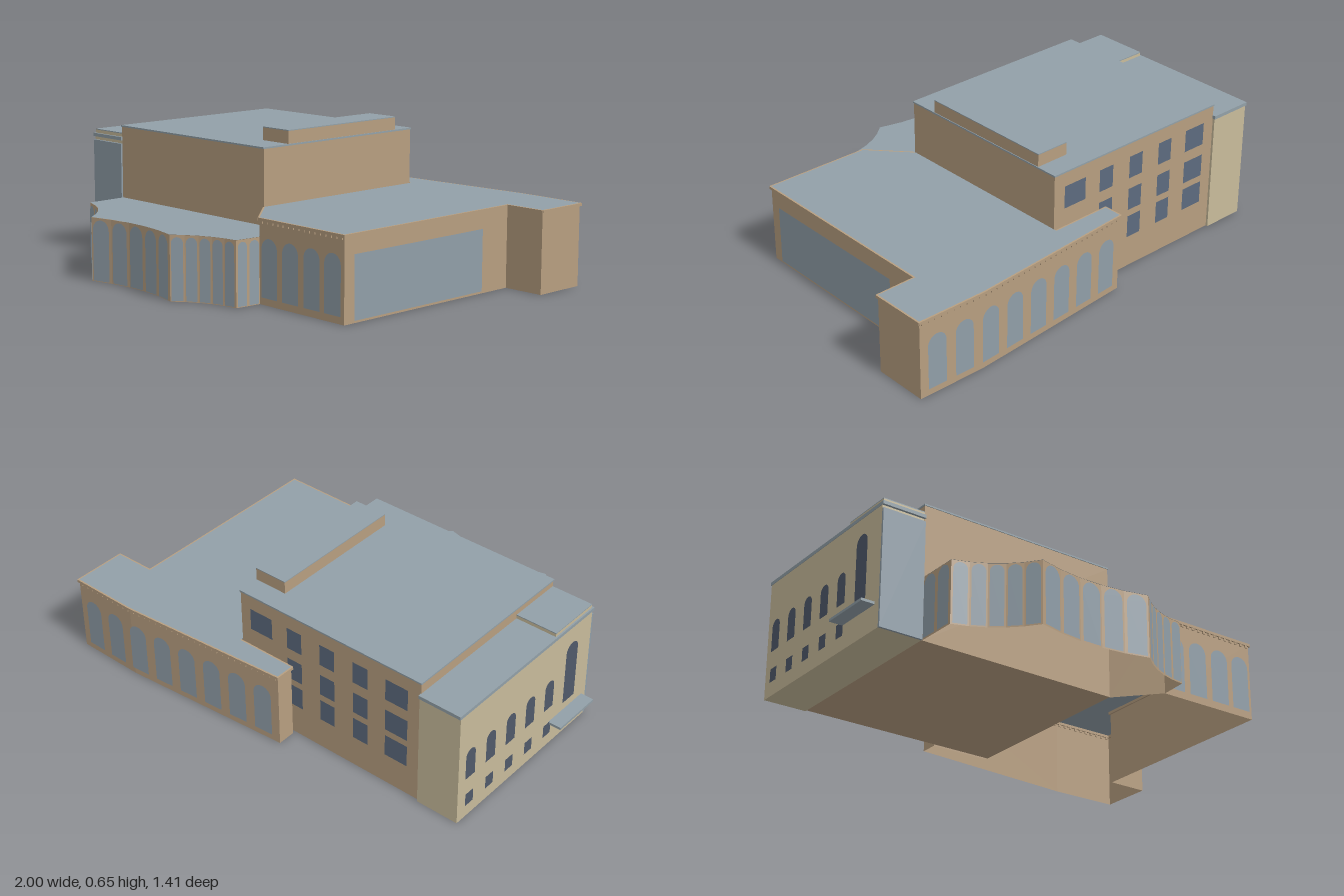
import * as THREE from 'three';

const mat = (name, color, side = THREE.FrontSide) => {
  const m = new THREE.MeshStandardMaterial({ color, side });
  m.name = name;
  return m;
};

export function createModel() {
  const model = new THREE.Group();
  model.name = 'theatreBuilding';
  const stone = mat('tan stone', 0xb79e80, THREE.DoubleSide);
  const cream = mat('cream stone', 0xc8bb9b);
  const roofing = mat('grey roofing', 0x92a0a8, THREE.DoubleSide);
  const glass = mat('pale glass', 0x909ea8, THREE.DoubleSide);
  const darkGlass = mat('blue window', 0x5c6b7e);
  const shadeGlass = mat('dark window', 0x50596a);

  const add = (name, geo, material, parent = model) => {
    const mesh = new THREE.Mesh(geo, material);
    mesh.name = name;
    parent.add(mesh);
    return mesh;
  };
  // Box given by its limits on each axis
  const box = (name, x0, x1, y0, y1, z0, z1, material) => {
    const m = add(name, new THREE.BoxGeometry(x1 - x0, y1 - y0, z1 - z0), material);
    m.position.set((x0 + x1) / 2, (y0 + y1) / 2, (z0 + z1) / 2);
    return m;
  };
  // Frame along a wall from a to b: local x runs along it, local z points outwards
  const wallFrame = (name, a, b) => {
    const g = new THREE.Group();
    g.name = name;
    g.position.set(a[0], 0, a[1]);
    g.rotation.y = -Math.atan2(b[1] - a[1], b[0] - a[0]);
    g.userData.length = Math.hypot(b[0] - a[0], b[1] - a[1]);
    model.add(g);
    return g;
  };
  const wall = (name, a, b, height, material) => {
    const g = wallFrame(name, a, b);
    const len = g.userData.length;
    add(name + 'Face', new THREE.PlaneGeometry(len, height).translate(len / 2, height / 2, 0), material, g);
    return g;
  };
  // Thin window pane centred at u along a wall, optionally round-headed
  const pane = (frame, u, w, y0, y1, arched, material, name = 'window') => {
    const r = w / 2, s = new THREE.Shape();
    s.moveTo(u - r, y0);
    s.lineTo(u + r, y0);
    if (arched) {
      s.lineTo(u + r, y1 - r);
      s.absarc(u, y1 - r, r, 0, Math.PI, false);
    } else {
      s.lineTo(u + r, y1);
      s.lineTo(u - r, y1);
    }
    s.closePath();
    add(name, new THREE.ShapeGeometry(s, 8).translate(0, 0, 0.004), material, frame);
  };
  const flatRoof = (name, pts, y) => {
    const s = new THREE.Shape(pts.map(([x, z]) => new THREE.Vector2(x, -z)));
    add(name, new THREE.ShapeGeometry(s).rotateX(-Math.PI / 2).translate(0, y, 0), roofing);
  };

  // Main hall with rooftop plant room
  box('mainHall', -0.745, 0.175, 0, 0.585, -0.555, 0.305, stone);
  box('hallRoof', -0.748, 0.178, 0.585, 0.592, -0.558, 0.308, roofing);
  box('plantRoom', 0.022, 0.175, 0.592, 0.645, -0.46, 0.17, stone);
  box('plantRoomRoof', 0.022, 0.175, 0.645, 0.649, -0.46, 0.17, roofing);
  const hallBack = wallFrame('hallBackWindows', [0.175, -0.555], [-0.745, -0.555]);
  for (const [x, w] of [[-0.63, 0.11], [-0.45, 0.075], [-0.28, 0.075], [-0.11, 0.075], [0.065, 0.115]]) {
    const rows = x > 0 ? [0.475] : [0.475, 0.325, 0.195];
    for (const y of rows) pane(hallBack, 0.175 - x, w, y - 0.05, y + 0.05, false, darkGlass);
  }

  // Low wing: walls, cornice, dentils and roof
  const wing = [[0.175, 0.3], [0.33, 0.47], [0.805, 0.475], [0.808, -0.46], [0.99, -0.46],
    [0.99, -0.7], [0.68, -0.705], [-0.1, -0.65], [-0.1, -0.57], [0.175, -0.57]];
  const wingWalls = [];
  for (let i = 0; i < wing.length - 1; i++) {
    const g = wall('wingWall', wing[i], wing[i + 1], 0.345, stone);
    const len = g.userData.length;
    add('cornice', new THREE.BoxGeometry(len + 0.01, 0.012, 0.014).translate(len / 2, 0.342, 0), stone, g);
    if (i === 1 || i === 5 || i === 6) {
      const n = Math.round(len / 0.03);
      for (let k = 0; k < n; k++) {
        add('dentil', new THREE.BoxGeometry(0.012, 0.01, 0.01).translate((k + 0.5) * len / n, 0.331, 0), stone, g);
      }
    }
    wingWalls.push(g);
  }
  flatRoof('wingRoof', wing, 0.3485);
  for (const x of [0.39, 0.51, 0.63, 0.745]) pane(wingWalls[1], x - 0.33, 0.09, 0.03, 0.27, true, glass, 'archedWindow');
  for (let i = 0; i < 8; i++) {
    const x = 0.91 - 0.133 * i;
    if (x > 0.68) pane(wingWalls[5], 0.99 - x, 0.088, 0.03, 0.265, true, glass, 'archedWindow');
    else pane(wingWalls[6], 0.68 - x, 0.088, 0.03, 0.265, true, glass, 'archedWindow');
  }
  pane(wingWalls[2], 0.415, 0.73, 0.01, 0.267, false, glass, 'sideGlazing');

  // Glazed front foyer with three concave bays
  const bay = (a, b, sag, n) => {
    const len = Math.hypot(b[0] - a[0], b[1] - a[1]);
    const nx = -(b[1] - a[1]) / len, nz = (b[0] - a[0]) / len;
    const c = new THREE.QuadraticBezierCurve(new THREE.Vector2(...a),
      new THREE.Vector2((a[0] + b[0]) / 2 - 2 * sag * nx, (a[1] + b[1]) / 2 - 2 * sag * nz),
      new THREE.Vector2(...b));
    return c.getPoints(n).slice(1).map(p => [p.x, p.y]);
  };
  const foyer = [[-0.742, 0.305], [-0.741, 0.4], [-0.74, 0.49],
    ...bay([-0.74, 0.49], [-0.46, 0.695], 0.032, 5),
    ...bay([-0.46, 0.695], [0.055, 0.7], 0.038, 5),
    ...bay([0.055, 0.7], [0.32, 0.585], 0.026, 5),
    [0.325, 0.53], [0.33, 0.47]];
  for (let i = 0; i < foyer.length - 1; i++) {
    const g = wall('foyerWall', foyer[i], foyer[i + 1], 0.27, stone);
    const len = g.userData.length;
    pane(g, len / 2, len * 0.8, 0.004, 0.262, true, glass, 'foyerGlazing');
  }
  flatRoof('foyerRoof', [...foyer, [0.175, 0.3]], 0.271);

  // Side tower with stepped roof and glazed front
  box('sideTower', -0.94, -0.745, 0, 0.525, -0.565, 0.303, cream);
  box('towerGlazing', -0.94, -0.745, 0, 0.51, 0.303, 0.313, glass);
  box('towerRoof', -0.942, -0.743, 0.525, 0.54, -0.57, 0.314, roofing);
  box('towerAttic', -0.935, -0.715, 0.54, 0.554, 0.055, 0.304, cream);
  box('towerAtticRoof', -0.935, -0.745, 0.554, 0.558, 0.055, 0.304, roofing);
  const side = wallFrame('towerSideWindows', [-0.94, -0.565], [-0.94, 0.303]);
  for (let i = 0; i < 5; i++) {
    const u = 0.07 + 0.13 * i;
    pane(side, u, 0.06, 0.2, 0.34, true, shadeGlass, 'archedWindow');
    pane(side, u, 0.05, 0.06, 0.12, false, shadeGlass, 'lowerWindow');
  }
  pane(side, 0.735, 0.08, 0.16, 0.45, true, shadeGlass, 'tallWindow');

  // Entrance canopy
  box('canopy', -1, -0.94, 0.107, 0.118, 0.04, 0.275, roofing);

  return model;
}
